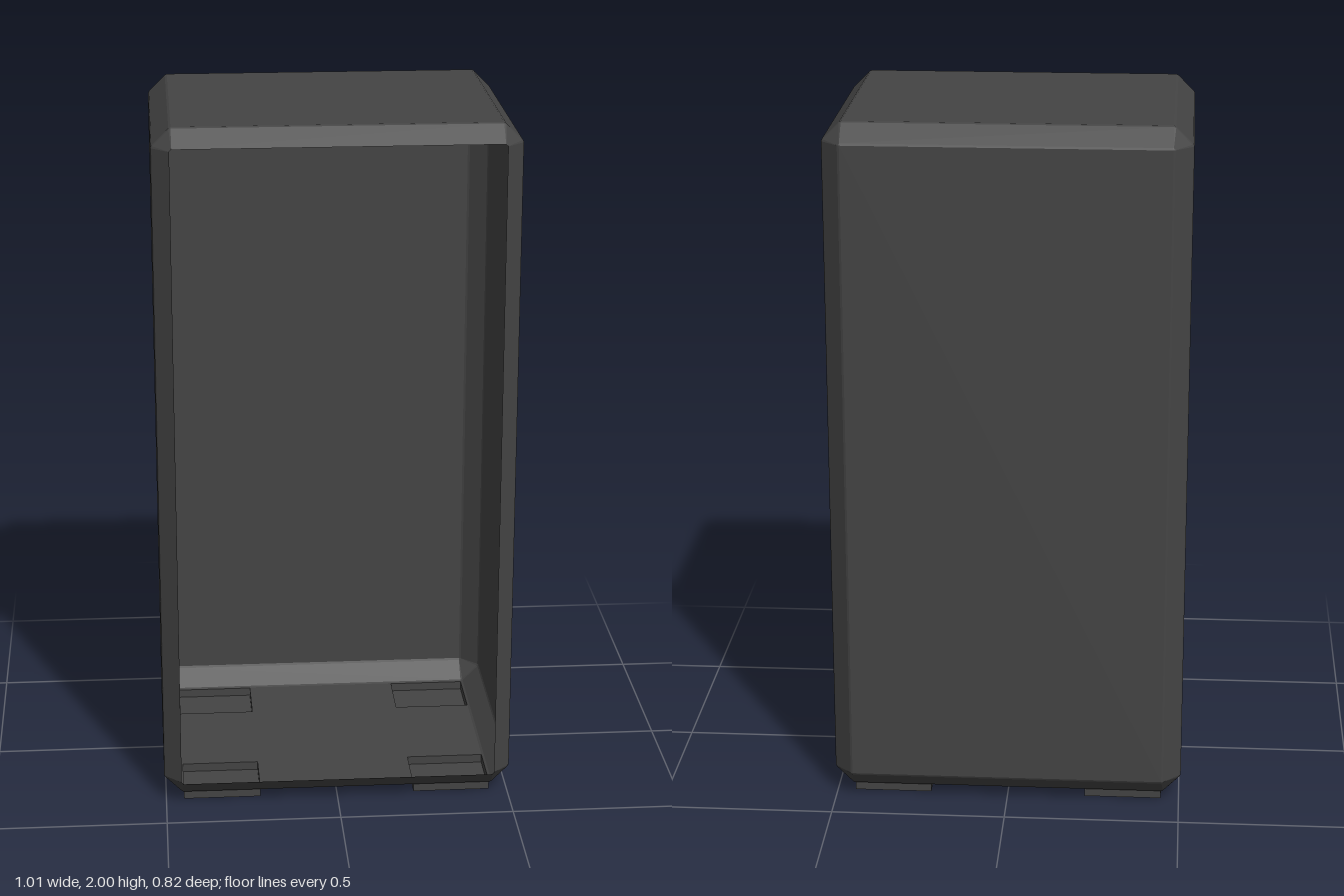
import * as THREE from 'three';

const HX = 0.505, HZ = 0.41, Y0 = 0.025, Y1 = 2;
const HY = (Y1 - Y0) / 2, CY = (Y1 + Y0) / 2;
// Softened chamfer profile: [inset, distance from the edge]
const BEVEL = [[0, 0.056], [0.003, 0.05], [0.05, 0.003], [0.056, 0]];
const CUT = 0.056;
// Foot extents
const FOOT = { x0: 0.225, x1: 0.448, z0: 0.175, z1: 0.35 };

// Chamfered rectangle at depth z, shrunk by an inset (counter-clockwise from the front)
function ring(inset, z) {
  const s = 1 - inset / CUT, pts = [];
  for (const [sx, sy] of [[1, 1], [-1, 1], [-1, -1], [1, -1]]) {
    const corner = BEVEL.map(([a, b]) => [
      sx * (HX - inset - a * s), CY + sy * (HY - inset - b * s), z]);
    if (sx * sy < 0) corner.reverse();
    pts.push(...corner);
  }
  return pts;
}

// Shell lofted from back to front; the front is open and the floor is separate
function shellGeometry() {
  const rings = [];
  for (let k = 3; k >= 0; k--) rings.push(ring(BEVEL[k][0], -HZ + BEVEL[k][1]));
  for (let k = 0; k < 3; k++) rings.push(ring(BEVEL[k][0], HZ - BEVEL[k][1]));
  const n = 16, floorSide = 11, index = [0, 12, 8, 0, 8, 4];
  for (let i = 0; i < rings.length - 1; i++) {
    for (let j = 0; j < n; j++) {
      if (i === 3 && j === floorSide) continue;
      const a = i * n + j, b = i * n + (j + 1) % n;
      index.push(a, b, b + n, a, b + n, a + n);
    }
  }
  const geo = new THREE.BufferGeometry();
  geo.setAttribute('position', new THREE.Float32BufferAttribute(rings.flat(2), 3));
  geo.setIndex(index);
  geo.computeVertexNormals();
  return geo;
}

function rectangle(PathType, x0, z0, x1, z1) {
  return new PathType([[x0, z0], [x1, z0], [x1, z1], [x0, z1]]
    .map(([x, z]) => new THREE.Vector2(x, z)));
}

// Floor with an opening above each hollow foot
function floorGeometry() {
  const x = HX - CUT, z = HZ - CUT;
  const shape = rectangle(THREE.Shape, -x, -z, x, z);
  for (const sx of [-1, 1]) for (const sz of [-1, 1]) {
    shape.holes.push(rectangle(THREE.Path, sx * FOOT.x0, sz * FOOT.z0, sx * FOOT.x1, sz * FOOT.z1));
  }
  return new THREE.ShapeGeometry(shape).rotateX(Math.PI / 2).translate(0, Y0, 0);
}

// Shallow box without its top face
function footGeometry() {
  const geo = new THREE.BoxGeometry(FOOT.x1 - FOOT.x0, Y0, FOOT.z1 - FOOT.z0);
  const index = Array.from(geo.index.array);
  index.splice(12, 6);
  geo.setIndex(index);
  geo.clearGroups();
  return geo;
}

export function createModel() {
  const model = new THREE.Group();
  model.name = 'cabinet';
  const material = new THREE.MeshStandardMaterial({
    color: 0x444444, flatShading: true, side: THREE.DoubleSide });
  const add = (name, geometry) => {
    const mesh = new THREE.Mesh(geometry, material);
    mesh.name = name;
    model.add(mesh);
    return mesh;
  };

  add('shell', shellGeometry());
  add('floor', floorGeometry());

  // Four hollow feet
  const foot = footGeometry();
  for (const sx of [-1, 1]) for (const sz of [-1, 1]) {
    add(`${sz > 0 ? 'front' : 'back'}${sx > 0 ? 'Left' : 'Right'}Foot`, foot).position.set(
      sx * (FOOT.x0 + FOOT.x1) / 2, Y0 / 2, sz * (FOOT.z0 + FOOT.z1) / 2);
  }
  return model;
}
